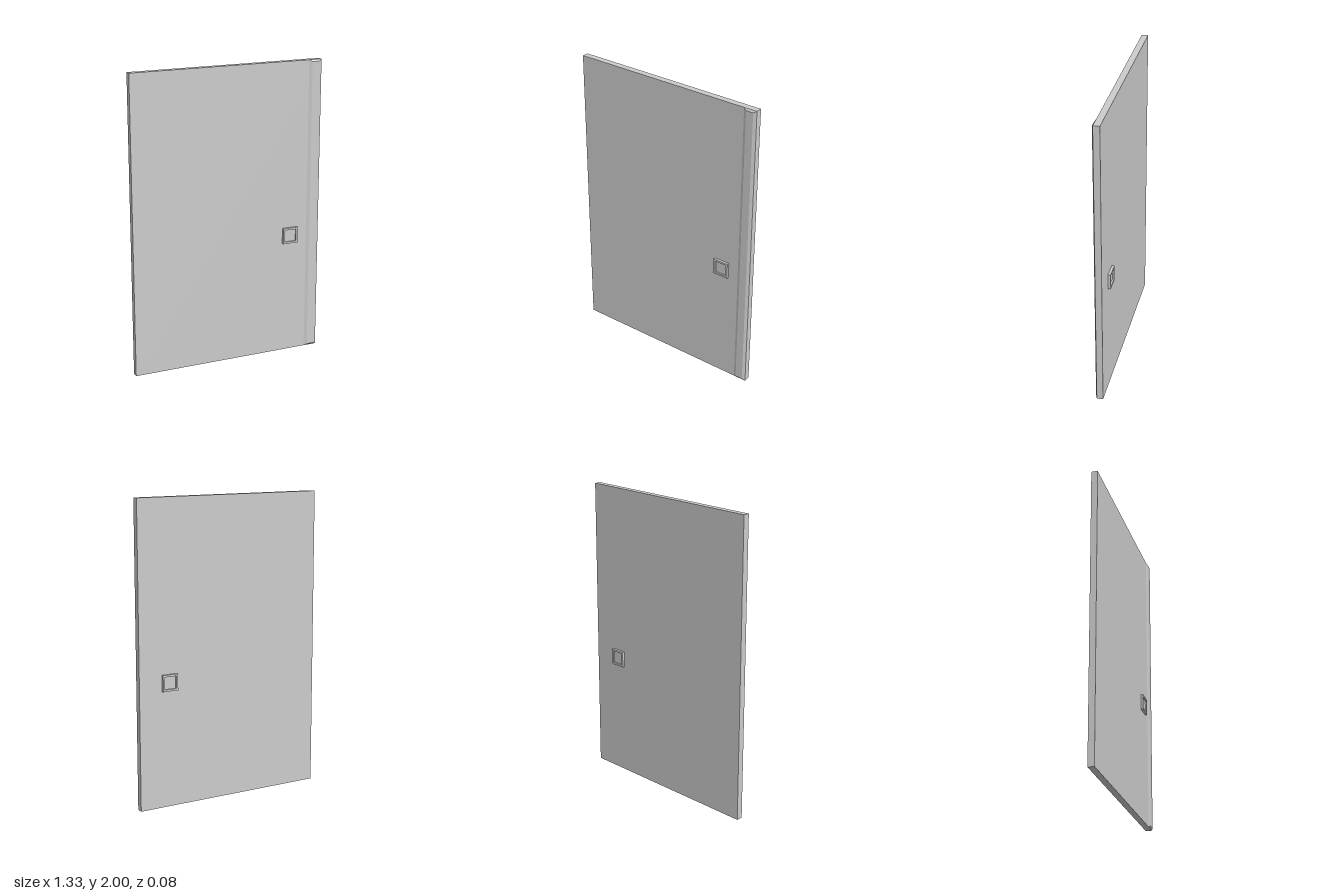
import * as THREE from 'three';

const material = new THREE.MeshStandardMaterial({ color: 0xcccccc });

function box(name, w, h, d, x, y, z) {
  const mesh = new THREE.Mesh(new THREE.BoxGeometry(w, h, d), material);
  mesh.name = name;
  mesh.position.set(x, y, z);
  return mesh;
}

// Raised strip whose front face is narrower than its base
function edgeStrip(x0, x1, z0, z1, insetX, insetY) {
  const geo = new THREE.BoxGeometry(x1 - x0, 2, z1 - z0);
  const p = geo.attributes.position;
  for (let i = 0; i < p.count; i++) {
    if (p.getZ(i) > 0) {
      p.setX(i, p.getX(i) - Math.sign(p.getX(i)) * insetX);
      p.setY(i, p.getY(i) - Math.sign(p.getY(i)) * insetY);
    }
  }
  const flat = geo.toNonIndexed();
  flat.computeVertexNormals();
  const mesh = new THREE.Mesh(flat, material);
  mesh.name = 'edgeStrip';
  mesh.position.set((x0 + x1) / 2, 1, (z0 + z1) / 2);
  return mesh;
}

function square(target, r) {
  target.moveTo(-r, -r);
  target.lineTo(r, -r);
  target.lineTo(r, r);
  target.lineTo(-r, r);
  target.closePath();
  return target;
}

// Square flush pull: a rim around a recessed plate, facing +z
function flushPull(name, depth) {
  const group = new THREE.Group();
  group.name = name;
  const shape = square(new THREE.Shape(), 0.054);
  shape.holes.push(square(new THREE.Path(), 0.041));
  const rim = new THREE.Mesh(
    new THREE.ExtrudeGeometry(shape, { depth, bevelEnabled: false }), material);
  rim.name = 'pullRim';
  group.add(rim, box('pullPlate', 0.082, 0.082, 0.006, 0, 0, 0.003));
  return group;
}

export function createModel() {
  const door = new THREE.Group();
  door.name = 'door';
  const back = -0.0205, front = 0.0215;

  door.add(box('doorPanel', 1.33, 2, front - back, 0, 1, (front + back) / 2));
  door.add(edgeStrip(0.575, 0.665, front, 0.031, 0.02, 0.012));

  // Pulls on both faces
  const frontPull = flushPull('frontPull', 0.0375 - front);
  frontPull.position.set(0.45, 0.824, front);
  const backPull = flushPull('backPull', 0.0375 + back);
  backPull.position.set(0.45, 0.824, back);
  backPull.rotation.y = Math.PI;
  door.add(frontPull, backPull);
  return door;
}
